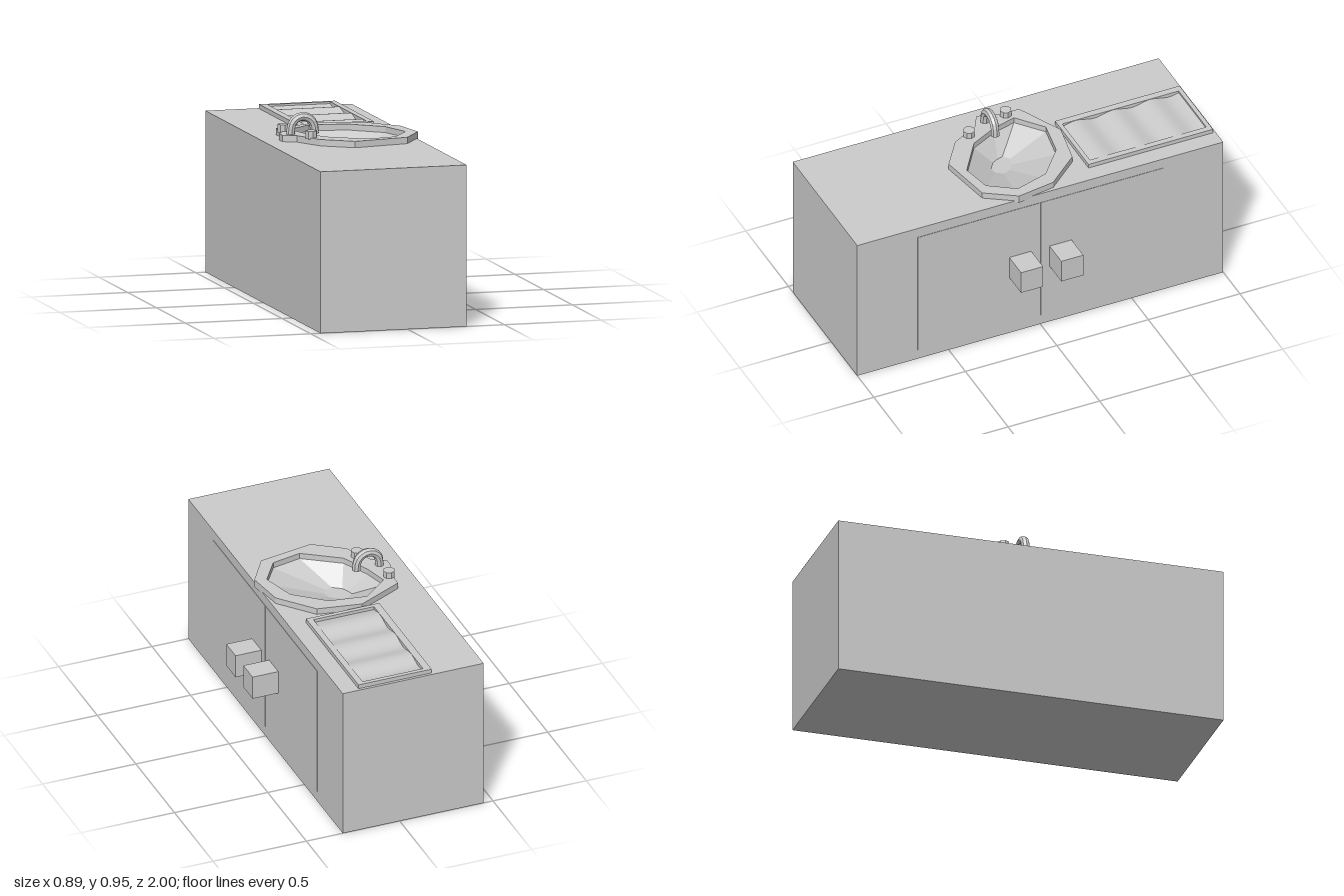
import * as THREE from 'three';

const material = new THREE.MeshStandardMaterial({ color: 0xcccccc, flatShading: true, side: THREE.DoubleSide });

// Basin outlines as [x, z]
const OUTER = [[-0.09, -0.297], [0.135, -0.255], [0.285, -0.08], [0.315, 0.12], [0.215, 0.275], [-0.07, 0.326],
  [-0.22, 0.22], [-0.295, 0.075], [-0.362, 0.04], [-0.362, -0.015], [-0.33, -0.07], [-0.33, -0.18], [-0.27, -0.21]];
const INNER = [[-0.14, -0.238], [0.05, -0.206], [0.205, -0.075], [0.257, 0.1], [0.167, 0.233], [0.013, 0.265],
  [-0.17, 0.14], [-0.24, 0], [-0.275, -0.127]];
const DRAIN = [-0.09, 0.03];

const rect = (x0, x1, z0, z1) => [[x0, z0], [x1, z0], [x1, z1], [x0, z1]];
const points = (list) => list.map(([x, z]) => new THREE.Vector2(x, -z));

// Plan outline with an optional hole
function plan(outline, hole) {
  const shape = new THREE.Shape(points(outline));
  if (hole) shape.holes.push(new THREE.Path(points(hole)));
  return shape;
}

function slab(outline, hole, y, height) {
  return new THREE.ExtrudeGeometry(plan(outline, hole), { depth: height, bevelEnabled: false })
    .rotateX(-Math.PI / 2).translate(0, y, 0);
}

// Faceted bowl joining rings of equal point count, closed at the last ring
function loft(rings) {
  const n = rings[0].length;
  const pos = rings.flat(2);
  const index = [];
  for (let r = 0; r < rings.length - 1; r++) {
    for (let i = 0; i < n; i++) {
      const a = r * n + i, b = r * n + (i + 1) % n;
      index.push(a, a + n, b, b, a + n, b + n);
    }
  }
  const last = (rings.length - 1) * n;
  for (let i = 1; i < n - 1; i++) index.push(last, last + i + 1, last + i);
  const g = new THREE.BufferGeometry();
  g.setAttribute('position', new THREE.Float32BufferAttribute(pos, 3));
  g.setIndex(index);
  g.computeVertexNormals();
  return g;
}

export function createModel() {
  const model = new THREE.Group();
  model.name = 'sinkCabinet';
  const add = (name, geometry, x = 0, y = 0, z = 0) => {
    const mesh = new THREE.Mesh(geometry, material);
    mesh.name = name;
    mesh.position.set(x, y, z);
    model.add(mesh);
    return mesh;
  };

  // Cabinet: a box without its top, closed by a counter cut out for the bowl
  const box = new THREE.BoxGeometry(0.755, 0.81, 2);
  const faces = Array.from(box.index.array);
  faces.splice(12, 6);
  box.setIndex(faces);
  box.clearGroups();
  add('cabinet', box, -0.0725, 0.405, 0);
  add('counterTop', new THREE.ShapeGeometry(plan(rect(-0.45, 0.305, -1, 1), INNER)).rotateX(-Math.PI / 2), 0, 0.81, 0);

  // Pair of thin doors with block handles
  for (const side of [1, -1]) {
    const label = side > 0 ? 'front' : 'back';
    add(label + 'Door', new THREE.BoxGeometry(0.006, 0.7, 0.668), 0.304, 0.405, side * 0.336);
    add(label + 'Handle', new THREE.BoxGeometry(0.14, 0.125, 0.12), 0.375, 0.4075, side * 0.11);
  }

  // Basin rim and bowl
  add('basinRim', slab(OUTER, INNER, 0.8, 0.042));
  const ring = (scale, y) => INNER.map(([x, z]) => [
    DRAIN[0] + (x - DRAIN[0]) * scale - (scale < 0.5 ? 0.02 : 0), y, DRAIN[1] + (z - DRAIN[1]) * scale]);
  add('basinBowl', loft([ring(1, 0.812), ring(0.24, 0.722)]));

  // Arched spout
  const path = new THREE.CurvePath();
  const arch = [new THREE.Vector3(-0.312, 0.83, 0)];
  for (let i = 0; i <= 8; i++) {
    const a = Math.PI * (1 - i / 8);
    arch.push(new THREE.Vector3(-0.25 + 0.06 * Math.cos(a), 0.868 + 0.06 * Math.sin(a), 0));
  }
  arch.push(new THREE.Vector3(-0.188, 0.84, 0));
  for (let i = 0; i < arch.length - 1; i++) path.add(new THREE.LineCurve3(arch[i], arch[i + 1]));
  const curve = new THREE.CatmullRomCurve3(arch);
  add('spout', new THREE.TubeGeometry(curve, 12, 0.022, 8), 0, 0, 0.016);

  // Taps
  for (const [name, x, z] of [['backTap', -0.315, -0.1], ['frontTap', -0.24, 0.135]]) {
    add(name, new THREE.CylinderGeometry(0.03, 0.03, 0.04, 8), x, 0.855, z);
  }

  // Draining board: raised frame around a rippled tray
  add('drainFrame', slab(rect(-0.177, 0.215, -0.986, -0.306), rect(-0.14, 0.184, -0.964, -0.328), 0.81, 0.022));
  const tray = new THREE.PlaneGeometry(0.324, 0.636, 1, 40).rotateX(-Math.PI / 2).translate(0.022, 0, -0.646);
  const p = tray.attributes.position;
  for (let i = 0; i < p.count; i++) {
    p.setY(i, 0.821 + 0.009 * Math.cos((p.getZ(i) + 0.605) * Math.PI * 2 / 0.203));
  }
  tray.computeVertexNormals();
  const trayMesh = add('drainTray', tray);
  trayMesh.material = new THREE.MeshStandardMaterial({ color: 0xcccccc, side: THREE.DoubleSide });

  return model;
}
